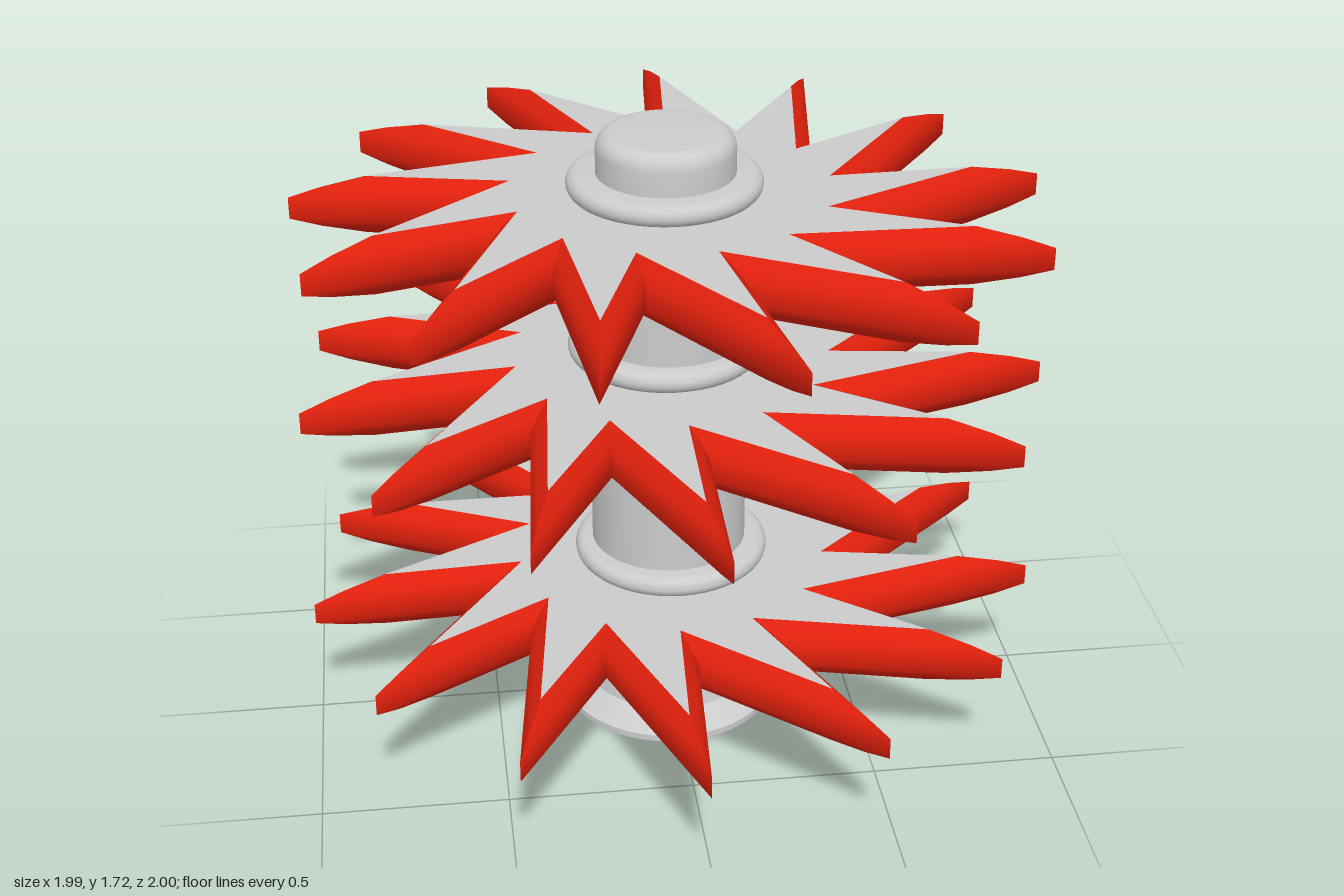
import * as THREE from 'three';
import { toCreasedNormals } from 'three/addons/utils/BufferGeometryUtils.js';

const grey = new THREE.MeshStandardMaterial({ color: 0xcccccc });
const red = new THREE.MeshStandardMaterial({ color: 0xe0200c });
const TEETH = 13, HALF = 0.08, BEVEL = 0.043;
const V = (x, y) => new THREE.Vector2(x, y);

// Counter-clockwise outline of swept saw teeth; phase in degrees
function sawOutline(phase) {
  const pts = [];
  const add = (r, deg) => {
    const a = THREE.MathUtils.degToRad(deg);
    pts.push(V(r * Math.cos(a), r * Math.sin(a)));
  };
  for (let i = 0; i < TEETH; i++) {
    const deg = -phase + (i * 360) / TEETH;
    add(1.0, deg);
    add(0.511, deg + 2.5);
  }
  return pts;
}

// Mitred inset of a counter-clockwise outline
function inset(pts, w) {
  const n = pts.length;
  const normal = (a, b) => {
    const d = b.clone().sub(a).normalize();
    return V(-d.y, d.x);
  };
  return pts.map((p, i) => {
    const n1 = normal(pts[(i + n - 1) % n], p);
    const n2 = normal(p, pts[(i + 1) % n]);
    const k = w / (1 + n1.dot(n2));
    return n1.add(n2).multiplyScalar(k).add(p);
  });
}

// Bevelled cutting edge: rings of the outline from bottom to top
function rimGeometry(outline) {
  const levels = [[-HALF, 1], [-0.055, 0.42], [-0.03, 0], [0.03, 0], [0.055, 0.42], [HALF, 1]];
  const n = outline.length, pos = [], idx = [];
  for (const [h, k] of levels)
    for (const p of inset(outline, k * BEVEL)) pos.push(p.x, h, -p.y);
  for (let l = 0; l < levels.length - 1; l++)
    for (let i = 0; i < n; i++) {
      const j = (i + 1) % n;
      const a = l * n + i, b = l * n + j, c = b + n, d = a + n;
      idx.push(a, b, c, a, c, d);
    }
  const g = new THREE.BufferGeometry();
  g.setAttribute('position', new THREE.Float32BufferAttribute(pos, 3));
  g.setIndex(idx);
  return toCreasedNormals(g, 0.7);
}

function makeBlade(name, y, phase) {
  const blade = new THREE.Group();
  blade.name = name;
  const outline = sawOutline(phase);
  const edge = new THREE.Mesh(rimGeometry(outline), red);
  edge.name = 'bladeEdge';
  const plate = new THREE.ExtrudeGeometry(new THREE.Shape(inset(outline, BEVEL)), {
    depth: 2 * HALF, bevelEnabled: false,
  });
  plate.translate(0, 0, -HALF).rotateX(-Math.PI / 2);
  const body = new THREE.Mesh(plate, grey);
  body.name = 'bladePlate';
  blade.add(edge, body);
  blade.position.y = y;
  return blade;
}

function turned(name, points, x = 0, z = 0) {
  const g = toCreasedNormals(new THREE.LatheGeometry(points, 48), 0.6);
  const mesh = new THREE.Mesh(g, grey);
  mesh.name = name;
  mesh.position.set(x, 0, z);
  return mesh;
}

// Half-round edged washer between y0 and y1
function collar(name, r, y0, y1, x, z) {
  const h = (y1 - y0) / 2, pts = [V(0, y0)];
  for (let i = 0; i <= 10; i++) {
    const a = -Math.PI / 2 + (i / 10) * Math.PI;
    pts.push(V(r - h + h * Math.cos(a), y0 + h + h * Math.sin(a)));
  }
  pts.push(V(0, y1));
  return turned(name, pts, x, z);
}

export function createModel() {
  const model = new THREE.Group();
  model.name = 'bladeStack';

  // Flared foot
  model.add(turned('foot', [
    V(0, 0), V(0.298, 0), V(0.298, 0.018), V(0.236, 0.068),
    V(0.222, 0.13), V(0.212, 0.18), V(0.21, 0.3), V(0, 0.3),
  ], -0.005, 0));

  // Central shaft
  model.add(turned('shaft', [V(0, 0.25), V(0.212, 0.25), V(0.212, 1.58), V(0, 1.58)], -0.006, 0));

  // Collars above and below each blade: radius, bottom, top, x, z
  [
    [0.267, 0.238, 0.298, 0, 0.008], [0.266, 0.452, 0.51, 0, 0.006],
    [0.268, 0.835, 0.918, -0.015, 0], [0.262, 1.072, 1.132, -0.013, 0],
    [0.268, 1.335, 1.393, 0, 0.026], [0.256, 1.547, 1.605, -0.018, 0.02],
  ].forEach((c, i) => model.add(collar(`collar${i + 1}`, ...c)));

  // Three saw blades, each turned a little differently
  model.add(makeBlade('lowerBlade', 0.374, 8.2));
  model.add(makeBlade('middleBlade', 0.995, 5.5));
  model.add(makeBlade('upperBlade', 1.471, 23.2));

  // Rounded end cap
  const cap = [V(0, 1.58), V(0.182, 1.58), V(0.182, 1.67)];
  for (let i = 1; i <= 6; i++) {
    const a = (i / 6) * Math.PI / 2;
    cap.push(V(0.137 + 0.045 * Math.cos(a), 1.67 + 0.045 * Math.sin(a)));
  }
  cap.push(V(0, 1.715));
  model.add(turned('endCap', cap, -0.015, 0.024));
  return model;
}
